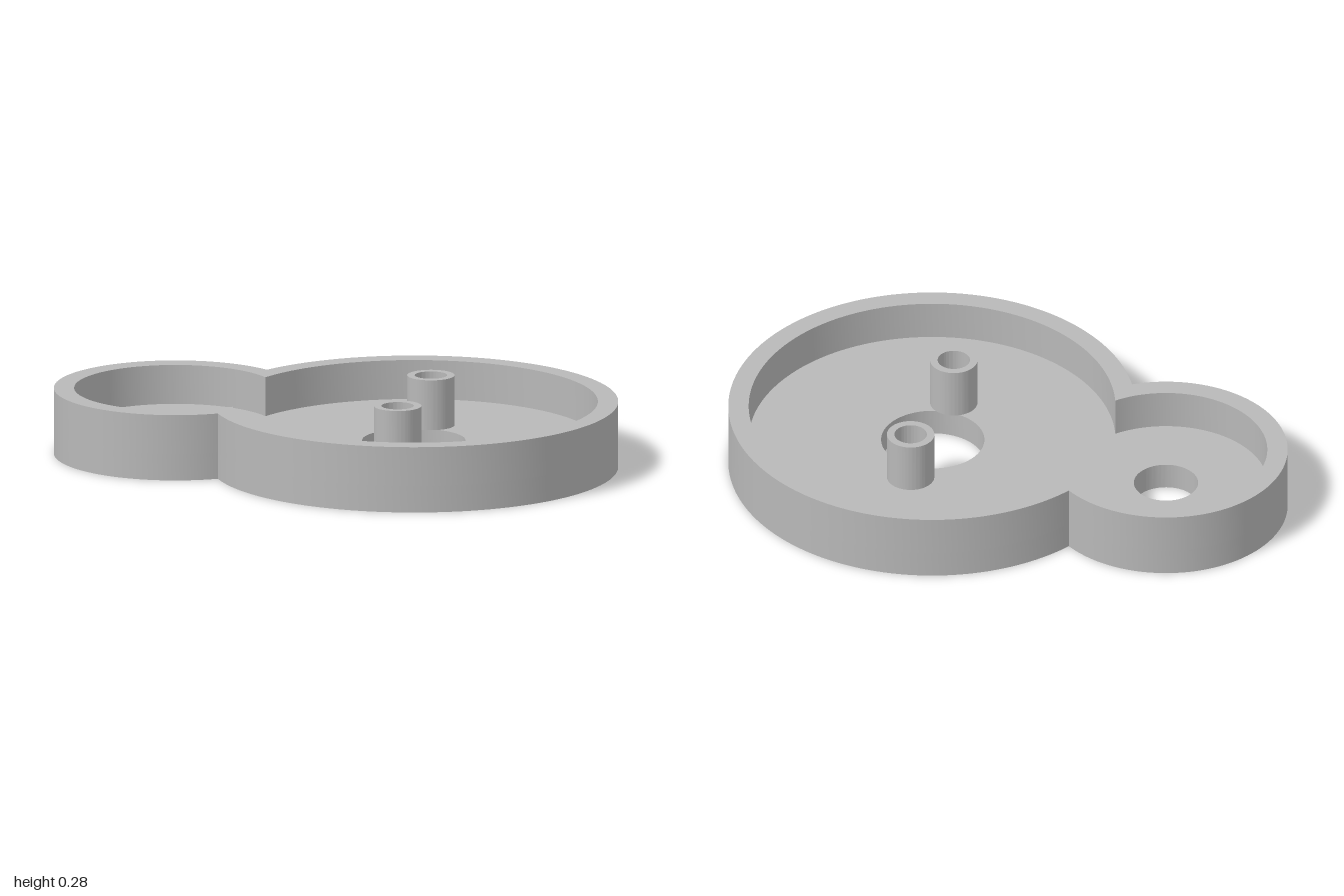
import * as THREE from 'three';
import { toCreasedNormals } from 'three/addons/utils/BufferGeometryUtils.js';

const BIG = { x: 0.27, z: 0, r: 0.73 };
const SMALL = { x: -0.564, z: 0.289, r: 0.436 };
const RIM = 0.073, FLOOR = 0.097, WALL_TOP = 0.24, POST_TOP = 0.28;
const BORE = 0.058, POST_R = 0.085;
const POSTS = [[0.185, -0.237], [0.353, 0.236]];

// Union of the two discs, shrunk by inset; shape y is world z
function outline(target, inset) {
  const R = BIG.r - inset, r = SMALL.r - inset;
  const dx = SMALL.x - BIG.x, dz = SMALL.z - BIG.z;
  const d = Math.hypot(dx, dz), a = Math.atan2(dz, dx);
  const h1 = Math.acos((d * d + R * R - r * r) / (2 * d * R));
  const h2 = Math.acos((d * d + r * r - R * R) / (2 * d * r));
  target.absarc(BIG.x, BIG.z, R, a + h1, a - h1 + 2 * Math.PI, false);
  target.absarc(SMALL.x, SMALL.z, r, a + Math.PI + h2, a + 3 * Math.PI - h2, false);
  target.closePath();
  return target;
}

function hole(x, z, r) {
  return new THREE.Path().absarc(x, z, r, 0, 2 * Math.PI, true);
}

// Extrude a plan shape between two heights
function slab(shape, y0, y1) {
  const g = new THREE.ExtrudeGeometry(shape, { depth: y1 - y0, bevelEnabled: false, curveSegments: 80 });
  g.rotateX(Math.PI / 2).translate(0, y1, 0);
  return toCreasedNormals(g, Math.PI / 6);
}

export function createModel() {
  const group = new THREE.Group();
  const grey = new THREE.MeshStandardMaterial({ color: 0xb8b8b8 });
  grey.name = 'grey';
  const add = (name, geometry) => {
    const mesh = new THREE.Mesh(geometry, grey);
    mesh.name = name;
    group.add(mesh);
  };

  // Floor plate with shaft holes and post bores
  const floor = outline(new THREE.Shape(), 0);
  floor.holes.push(hole(BIG.x - 0.003, 0, 0.185), hole(SMALL.x, SMALL.z, 0.115));
  for (const [x, z] of POSTS) floor.holes.push(hole(x, z, BORE));
  add('floor', slab(floor, 0, FLOOR));

  // Rim wall following both discs
  const wall = outline(new THREE.Shape(), 0);
  wall.holes.push(outline(new THREE.Path(), RIM));
  add('rimWall', slab(wall, FLOOR, WALL_TOP));

  // Hollow screw posts
  POSTS.forEach(([x, z], i) => {
    const post = new THREE.Shape().absarc(x, z, POST_R, 0, 2 * Math.PI, false);
    post.holes.push(hole(x, z, BORE));
    add(i ? 'frontPost' : 'backPost', slab(post, FLOOR, POST_TOP));
  });

  return group;
}
